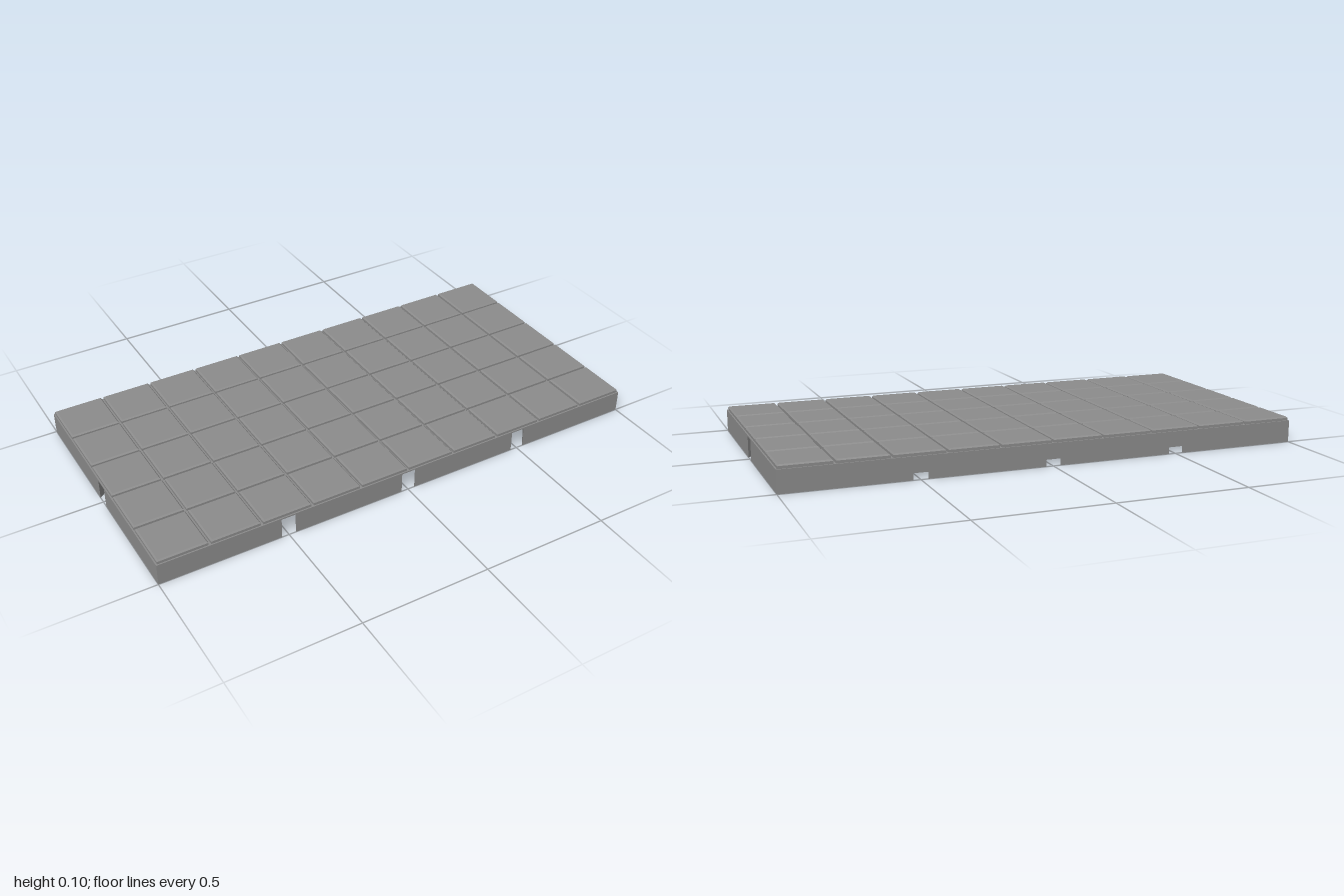
import * as THREE from 'three';

const W = 2, D = 1;             // footprint
const SLOT_TOP = 0.08;          // ceiling of the connector slots
const BASE_TOP = 0.085;         // floor of the grooves between tiles
const TOP = 0.1;                // tile surface
const PITCH = 0.2, TILE = 0.19, CHAMFER = 0.005;
const MOUTH = 0.0275, INNER = 0.1, DEPTH = 0.09; // dovetail half widths and depth

// Rectangle outline with dovetail slots cut into all four edges
function slottedOutline() {
  const points = [];
  const edge = (x, y, dx, dy, slots) => {
    const put = (along, inward) =>
      points.push(new THREE.Vector2(x + dx * along - dy * inward, y + dy * along + dx * inward));
    put(0, 0);
    for (const s of slots) {
      put(s - MOUTH, 0);
      put(s - INNER, DEPTH);
      put(s + INNER, DEPTH);
      put(s + MOUTH, 0);
    }
  };
  const long = [0.5, 1, 1.5], short = [0.5];
  edge(-W / 2, -D / 2, 1, 0, long);
  edge(W / 2, -D / 2, 0, 1, short);
  edge(W / 2, D / 2, -1, 0, long);
  edge(-W / 2, D / 2, 0, -1, short);
  return new THREE.Shape(points);
}

// Square tile with a chamfered top rim
function tileGeometry() {
  const h = TOP - BASE_TOP;
  const box = new THREE.BoxGeometry(TILE, h, TILE, 1, 2, 1);
  const p = box.attributes.position;
  const inset = 1 - (2 * CHAMFER) / TILE;
  for (let i = 0; i < p.count; i++) {
    const y = p.getY(i);
    if (y > h / 4) {
      p.setX(i, p.getX(i) * inset);
      p.setZ(i, p.getZ(i) * inset);
    } else if (y > -h / 4) {
      p.setY(i, h / 2 - CHAMFER);
    }
  }
  const geometry = box.toNonIndexed();
  geometry.computeVertexNormals();
  return geometry;
}

export function createModel() {
  const model = new THREE.Group();
  model.name = 'tiledFloorPlate';
  const material = new THREE.MeshStandardMaterial({ color: 0x8c8c8c, flatShading: true });

  // Base block, open at the dovetail slots
  const baseGeometry = new THREE.ExtrudeGeometry(slottedOutline(), { depth: SLOT_TOP, bevelEnabled: false });
  baseGeometry.rotateX(-Math.PI / 2);
  const base = new THREE.Mesh(baseGeometry, material);
  base.name = 'slottedBase';
  model.add(base);

  // Thin sheet that closes the slots and forms the groove floor
  const sheet = new THREE.Mesh(new THREE.BoxGeometry(W, BASE_TOP - SLOT_TOP, D), material);
  sheet.position.y = (BASE_TOP + SLOT_TOP) / 2;
  sheet.name = 'grooveFloor';
  model.add(sheet);

  // Grid of floor tiles
  const tiles = new THREE.Group();
  tiles.name = 'floorTiles';
  const geometry = tileGeometry();
  for (let row = 0; row < 5; row++) {
    for (let col = 0; col < 10; col++) {
      const tile = new THREE.Mesh(geometry, material);
      tile.name = 'floorTile';
      tile.position.set((col - 4.5) * PITCH, (BASE_TOP + TOP) / 2, (row - 2) * PITCH);
      tiles.add(tile);
    }
  }
  model.add(tiles);
  return model;
}
